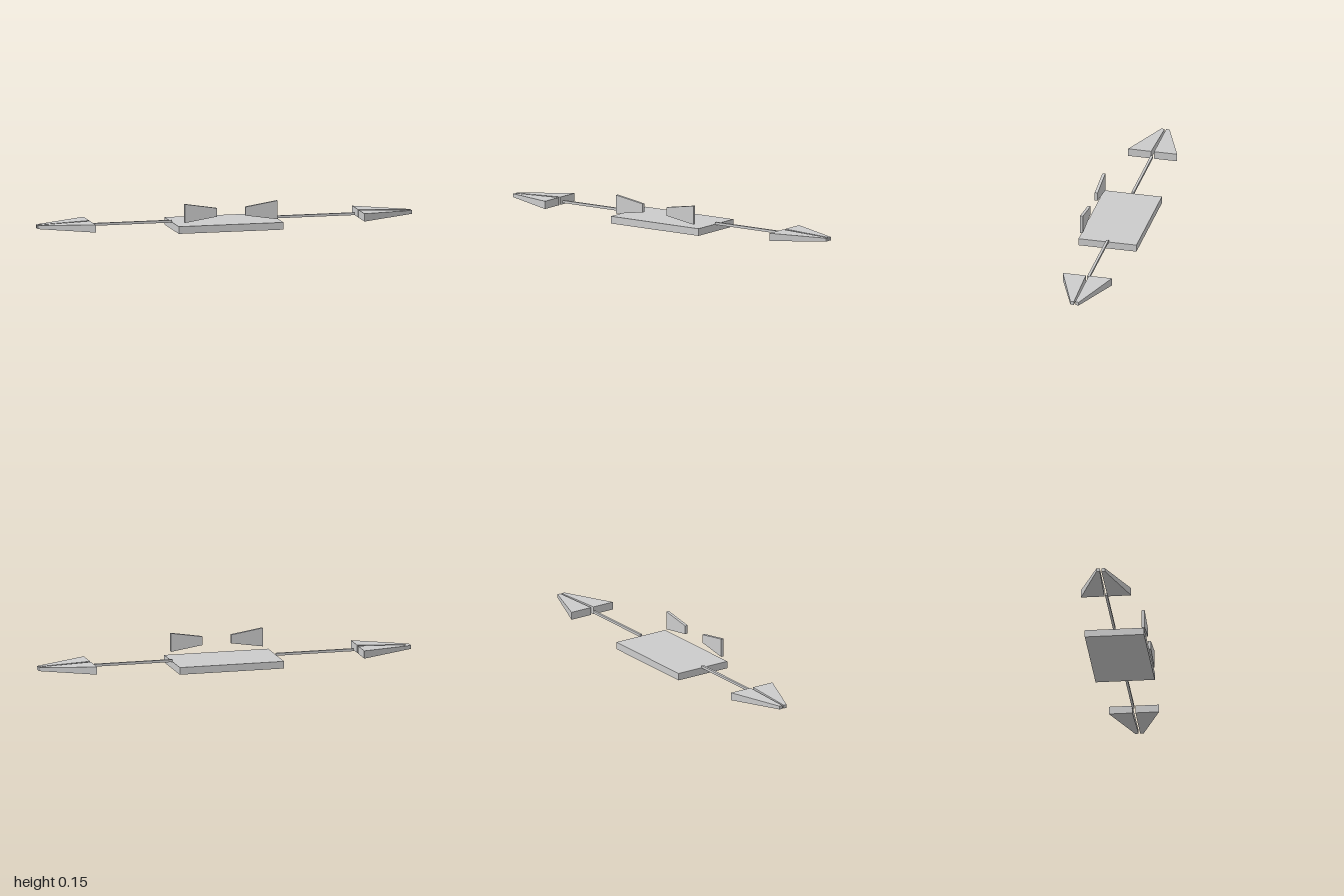
import * as THREE from 'three';

const material = new THREE.MeshStandardMaterial({ color: 0xcccccc, flatShading: true });

// Box with two x-end sections, each given as { x, y: [low, high], z: [low, high] }, in rising x
function taperedBlock(ends) {
  const geometry = new THREE.BoxGeometry(1, 1, 1);
  const p = geometry.attributes.position;
  for (let i = 0; i < p.count; i++) {
    const end = ends[p.getX(i) > 0 ? 1 : 0];
    p.setXYZ(i, end.x, end.y[p.getY(i) > 0 ? 1 : 0], end.z[p.getZ(i) > 0 ? 1 : 0]);
  }
  geometry.computeVertexNormals();
  return geometry;
}

// Mirrors a section across x and/or z, keeping its ranges in rising order
function place(section, sideX, sideZ) {
  const z = section.z.map((v) => v * sideZ).sort((a, b) => a - b);
  return { x: section.x * sideX, y: section.y, z };
}

function mirroredBlock(inner, outer, sideX, sideZ) {
  const ends = [place(inner, sideX, sideZ), place(outer, sideX, sideZ)];
  return taperedBlock(ends.sort((a, b) => a.x - b.x));
}

export function createModel() {
  const model = new THREE.Group();
  model.name = 'model';

  function add(name, geometry, x = 0, y = 0, z = 0) {
    const mesh = new THREE.Mesh(geometry, material);
    mesh.name = name;
    mesh.position.set(x, y, z);
    model.add(mesh);
    return mesh;
  }

  // Flat central slab
  add('base', new THREE.BoxGeometry(0.56, 0.038, 0.309), 0, 0.019, 0);

  for (const side of [1, -1]) {
    const label = side > 0 ? 'left' : 'right';

    // Thin arm reaching out from the slab
    add(`${label}Arm`, new THREE.BoxGeometry(0.42, 0.013, 0.013), side * 0.488, 0.042, 0);

    // Pair of wedges that narrow towards the tip
    for (const sideZ of [1, -1]) {
      const wedge = mirroredBlock(
        { x: 0.718, y: [0.021, 0.062], z: [0.008, 0.131] },
        { x: 1, y: [0.033, 0.051], z: [0.004, 0.022] },
        side, sideZ
      );
      add(`${label}${sideZ > 0 ? 'Front' : 'Back'}Wedge`, wedge, 0, 0, 0.001);
    }

    // Upright plate above the front edge, taller on its outer side
    const plate = mirroredBlock(
      { x: 0.077, y: [0.082, 0.127], z: [0.139, 0.1545] },
      { x: 0.247, y: [0.056, 0.154], z: [0.139, 0.1545] },
      side, 1
    );
    add(`${label}Plate`, plate);
  }

  return model;
}
